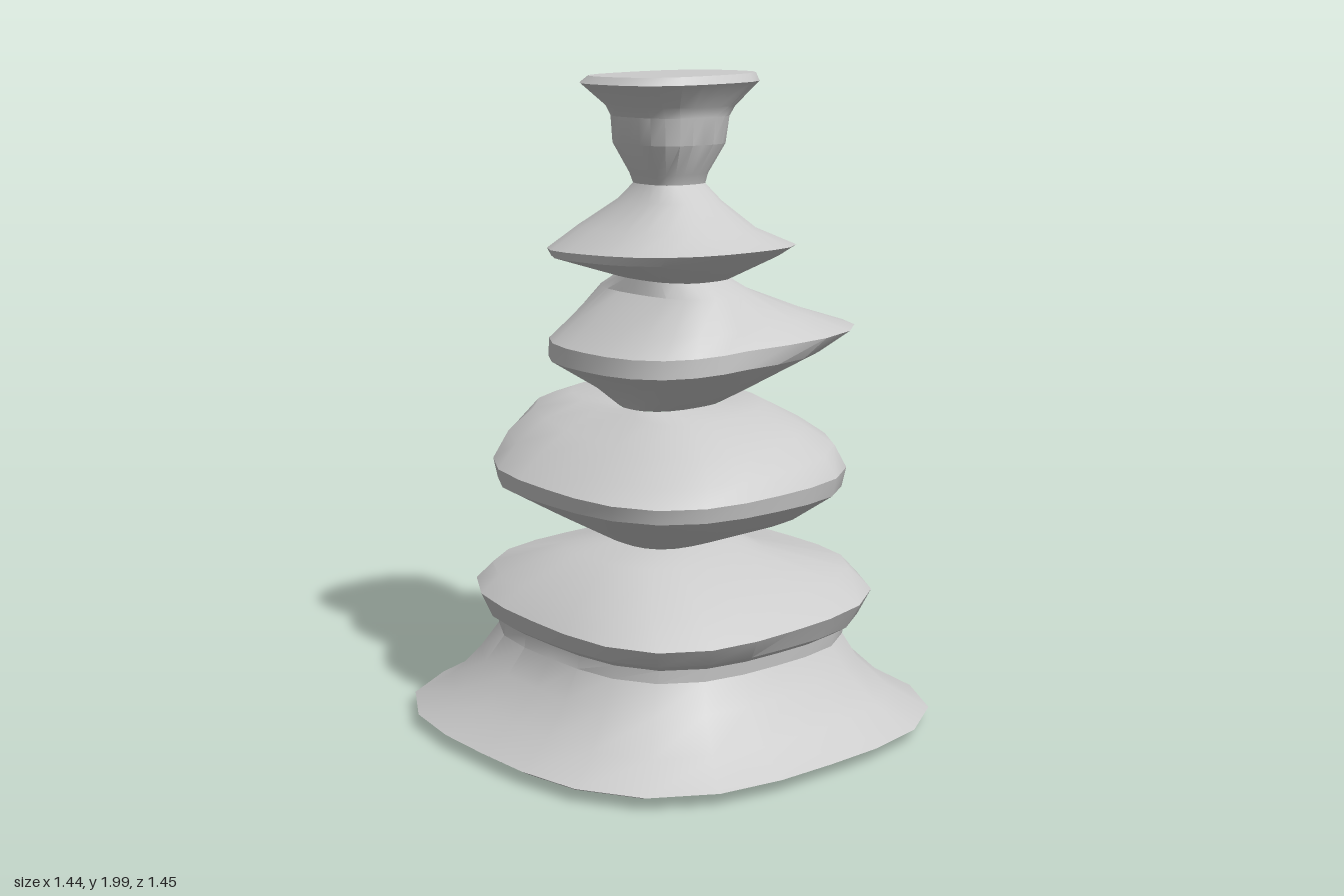
import * as THREE from 'three';
import { toCreasedNormals } from 'three/addons/utils/BufferGeometryUtils.js';

const SIDES = 24;
const material = new THREE.MeshStandardMaterial({ color: 0xcccccc });

// Rounded-square ring: [y, left, right, back, front, slope along x, slope along z, skew of right side]
function ringPoints([y, xl, xr, zb, zf, sx = 0, sz = 0, skew = 0], power) {
  const points = [];
  for (let i = 0; i < SIDES; i++) {
    const a = (i / SIDES) * Math.PI * 2;
    const c = Math.cos(a), s = Math.sin(a);
    const r = Math.pow(Math.pow(Math.abs(c), power) + Math.pow(Math.abs(s), power), -1 / power);
    const x = r * c * (c > 0 ? xr : -xl);
    const z = r * s * (s > 0 ? zf : -zb) + skew * Math.max(0, x);
    points.push(new THREE.Vector3(x, y + sx * x + sz * z, z));
  }
  return points;
}

// Skin a stack of rings, with optional flat ends
function loft(name, rings, power, capBottom = false, capTop = false) {
  const loops = rings.map((ring) => ringPoints(ring, power));
  const positions = [], index = [];
  loops.forEach((loop) => loop.forEach((p) => positions.push(p.x, p.y, p.z)));
  for (let j = 0; j < loops.length - 1; j++) {
    for (let i = 0; i < SIDES; i++) {
      const a = j * SIDES + i, b = j * SIDES + ((i + 1) % SIDES);
      index.push(a, a + SIDES, b, b, a + SIDES, b + SIDES);
    }
  }
  const cap = (j, up) => {
    const centre = new THREE.Vector3();
    loops[j].forEach((p) => centre.addScaledVector(p, 1 / SIDES));
    const k = positions.length / 3;
    positions.push(centre.x, centre.y, centre.z);
    for (let i = 0; i < SIDES; i++) {
      const a = j * SIDES + i, b = j * SIDES + ((i + 1) % SIDES);
      if (up) index.push(k, b, a);
      else index.push(k, a, b);
    }
  };
  if (capBottom) cap(0, false);
  if (capTop) cap(loops.length - 1, true);
  const geometry = new THREE.BufferGeometry();
  geometry.setAttribute('position', new THREE.Float32BufferAttribute(positions, 3));
  geometry.setIndex(index);
  const mesh = new THREE.Mesh(toCreasedNormals(geometry, 0.5), material);
  mesh.name = name;
  return mesh;
}

export function createModel() {
  const group = new THREE.Group();
  group.name = 'stackedStonePillar';

  // Necks shared by the neighbouring stones
  const waist = [0.32, -0.46, 0.48, -0.50, 0.49];
  const neck1 = [0.585, -0.18, 0.19, -0.16, 0.16];
  const neck2 = [1.0, -0.16, 0.17, -0.11, 0.12];
  const neck3 = [1.39, -0.13, 0.15, -0.18, 0.19];
  const neck4 = [1.67, -0.09, 0.105, -0.11, 0.09];

  // Flared foot
  group.add(loft('flaredBase', [
    [0.015, -0.69, 0.70, -0.70, 0.66, -0.015, 0],
    [0.045, -0.72, 0.72, -0.725, 0.725],
    [0.11, -0.61, 0.61, -0.62, 0.62],
    [0.2, -0.52, 0.52, -0.55, 0.53],
    [0.28, -0.465, 0.475, -0.50, 0.485],
    waist,
  ], 3, true));

  // Wide low stone
  group.add(loft('lowestStone', [
    waist,
    [0.345, -0.50, 0.51, -0.52, 0.53],
    [0.425, -0.53, 0.55, -0.555, 0.565, 0.03, -0.03],
    [0.475, -0.47, 0.525, -0.53, 0.47, 0.02, -0.01],
    [0.555, -0.31, 0.25, -0.27, 0.27, -0.02, 0.01],
    neck1,
  ], 3));

  // Thick stone with a raised hump at the back right
  group.add(loft('thickStone', [
    neck1,
    [0.665, -0.32, 0.36, -0.36, 0.37],
    [0.75, -0.465, 0.46, -0.50, 0.49],
    [0.81, -0.475, 0.475, -0.515, 0.50, 0.02, -0.02],
    [0.88, -0.40, 0.45, -0.515, 0.46, 0.05, -0.06],
    [0.94, -0.30, 0.37, -0.48, 0.38, 0.06, -0.08],
    [0.995, -0.19, 0.28, -0.37, 0.24, 0.05, -0.06],
    neck2,
  ], 2.9));

  // Stone with a point on its right
  group.add(loft('pointedStone', [
    neck2,
    [1.05, -0.20, 0.22, -0.23, 0.22],
    [1.15, -0.33, 0.40, -0.36, 0.355, 0.05, 0, 0.2],
    [1.205, -0.325, 0.525, -0.36, 0.355, 0.05, 0, 0.25],
    [1.26, -0.25, 0.40, -0.32, 0.32, 0.04, 0, 0.15],
    [1.35, -0.14, 0.20, -0.26, 0.26, 0.02],
    neck3,
  ], 2.6));

  // Sharp-edged disc stone
  group.add(loft('discStone', [
    neck3,
    [1.455, -0.32, 0.29, -0.34, 0.33, 0, 0.03],
    [1.48, -0.325, 0.33, -0.36, 0.37, 0, 0.04],
    [1.54, -0.23, 0.22, -0.28, 0.26],
    [1.62, -0.12, 0.13, -0.17, 0.16],
    neck4,
  ], 2.7));

  // Small cup with a flat flared top
  group.add(loft('topCup', [
    neck4,
    [1.7, -0.10, 0.11, -0.12, 0.10],
    [1.79, -0.15, 0.15, -0.16, 0.155],
    [1.87, -0.155, 0.165, -0.165, 0.16],
    [1.9, -0.175, 0.185, -0.17, 0.17],
    [1.97, -0.25, 0.25, -0.235, 0.235, 0.015],
    [1.993, -0.23, 0.245, -0.205, 0.22, 0.02, 0.005],
  ], 2.8, false, true));

  return group;
}
